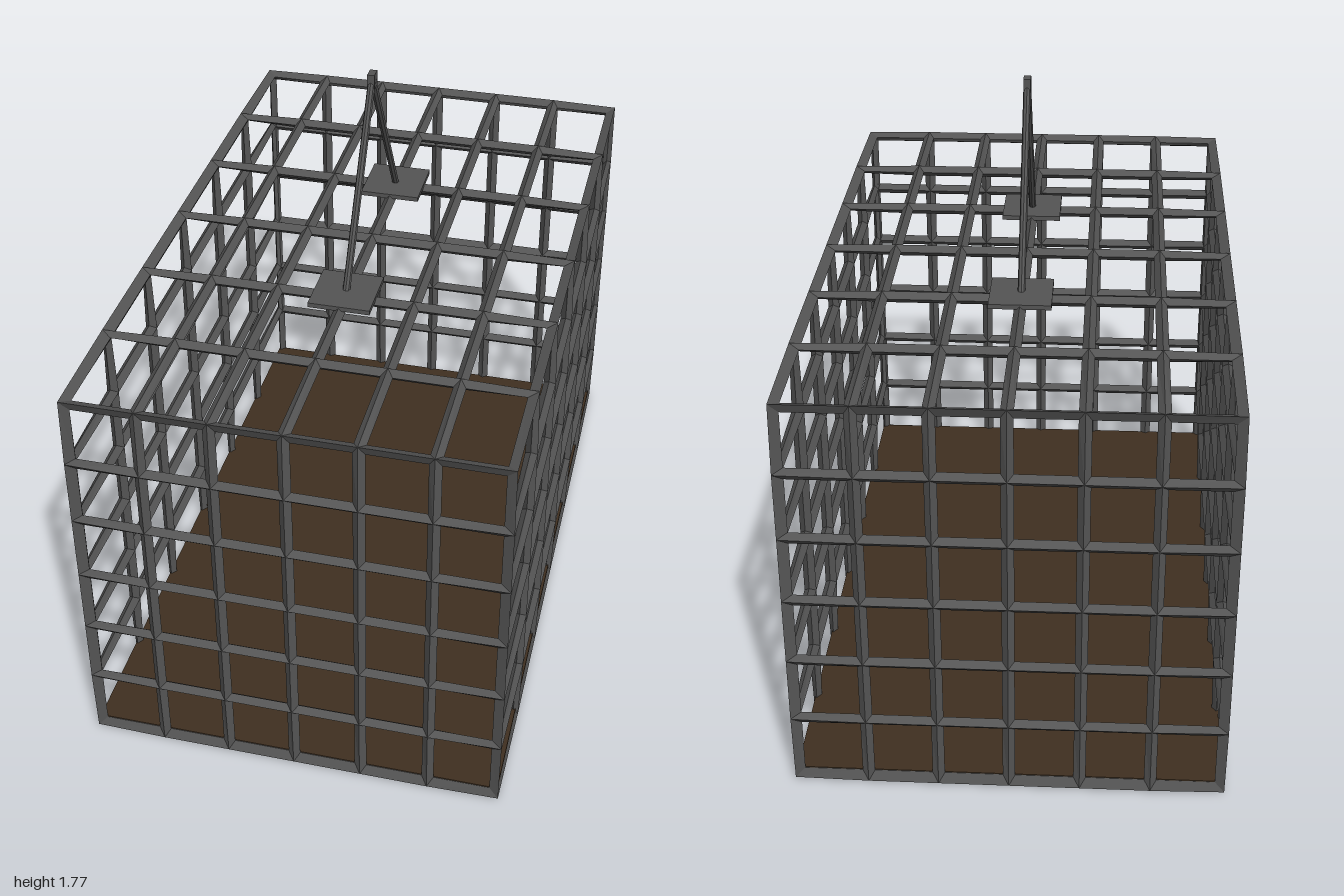
import * as THREE from 'three';

const T = 0.0175;                       // half thickness of the bars
const HALF = [0.6, 0.6, 0.9825];        // half size of the cage (x, y, z)
const MID_Y = HALF[1] + T;
const N = 6;                            // cells along every direction

// Lattice of diamond-section bars over all six sides of a box
function cageGeometry() {
  const pos = [];
  const quad = (a, b, c, d) => [a, b, c, a, c, d].forEach((v) => pos.push(v.x, v.y + MID_Y, v.z));

  for (let axis = 0; axis < 3; axis++) {
    const u = (axis + 1) % 3, w = (axis + 2) % 3;
    for (const side of [-1, 1]) {
      const point = (i, j) => {
        const p = new THREE.Vector3();
        p.setComponent(axis, side * HALF[axis]);
        p.setComponent(u, (2 * i / N - 1) * HALF[u]);
        p.setComponent(w, (2 * j / N - 1) * HALF[w]);
        return p;
      };
      // Ridge of the bar, pushed out (or in) along the averaged normal
      const ridge = (i, j, s) => {
        const n = new THREE.Vector3();
        n.setComponent(axis, side);
        n.setComponent(u, i === 0 ? -1 : i === N ? 1 : 0);
        n.setComponent(w, j === 0 ? -1 : j === N ? 1 : 0);
        return point(i, j).addScaledVector(n.normalize(), s * T);
      };
      for (let i = 0; i < N; i++) for (let j = 0; j < N; j++) {
        const corners = [[0, 0], [1, 0], [1, 1], [0, 1]];
        if (side < 0) corners.reverse();
        const ring = corners.map(([a, b]) => {
          const inset = point(i + a, j + b);
          inset.setComponent(u, inset.getComponent(u) + (a ? -T : T));
          inset.setComponent(w, inset.getComponent(w) + (b ? -T : T));
          return { inset, out: ridge(i + a, j + b, 1), in: ridge(i + a, j + b, -1) };
        });
        ring.forEach((a, k) => {
          const b = ring[(k + 1) % 4];
          quad(a.out, b.out, b.inset, a.inset);
          quad(a.inset, b.inset, b.in, a.in);
        });
      }
    }
  }
  const g = new THREE.BufferGeometry();
  g.setAttribute('position', new THREE.Float32BufferAttribute(pos, 3));
  g.computeVertexNormals();
  return g;
}

export function createModel() {
  const model = new THREE.Group();
  model.name = 'hangingCage';
  const metal = new THREE.MeshStandardMaterial({ color: 0x555555 });
  metal.name = 'darkMetal';
  const wood = new THREE.MeshStandardMaterial({ color: 0x403020 });
  wood.name = 'brownFloor';

  const add = (name, geometry, material, x = 0, y = 0, z = 0) => {
    const mesh = new THREE.Mesh(geometry, material);
    mesh.name = name;
    mesh.position.set(x, y, z);
    model.add(mesh);
    return mesh;
  };

  add('cageBars', cageGeometry(), metal);
  add('floor', new THREE.BoxGeometry(1.21, 0.026, 1.96), wood, 0, 0.023, 0);

  // Mounting plates and the two slanted hanger rods
  for (const s of [-1, 1]) {
    const label = s > 0 ? 'front' : 'back';
    add(label + 'Plate', new THREE.BoxGeometry(0.18, 0.014, 0.18), metal, 0, 1.233, s * 0.32);
    const foot = new THREE.Vector3(0, 1.23, s * 0.32);
    const top = new THREE.Vector3(0, 1.748, s * 0.004);
    const dir = top.clone().sub(foot);
    const rod = add(label + 'Rod', new THREE.CylinderGeometry(0.011, 0.011, dir.length(), 8).toNonIndexed(), metal);
    rod.geometry.computeVertexNormals();
    rod.position.copy(foot).add(top).multiplyScalar(0.5);
    rod.quaternion.setFromUnitVectors(new THREE.Vector3(0, 1, 0), dir.normalize());
  }

  // Joint where the rods meet
  add('hangerJoint', new THREE.BoxGeometry(0.021, 0.045, 0.036), metal, 0, 1.7475, 0);
  return model;
}
